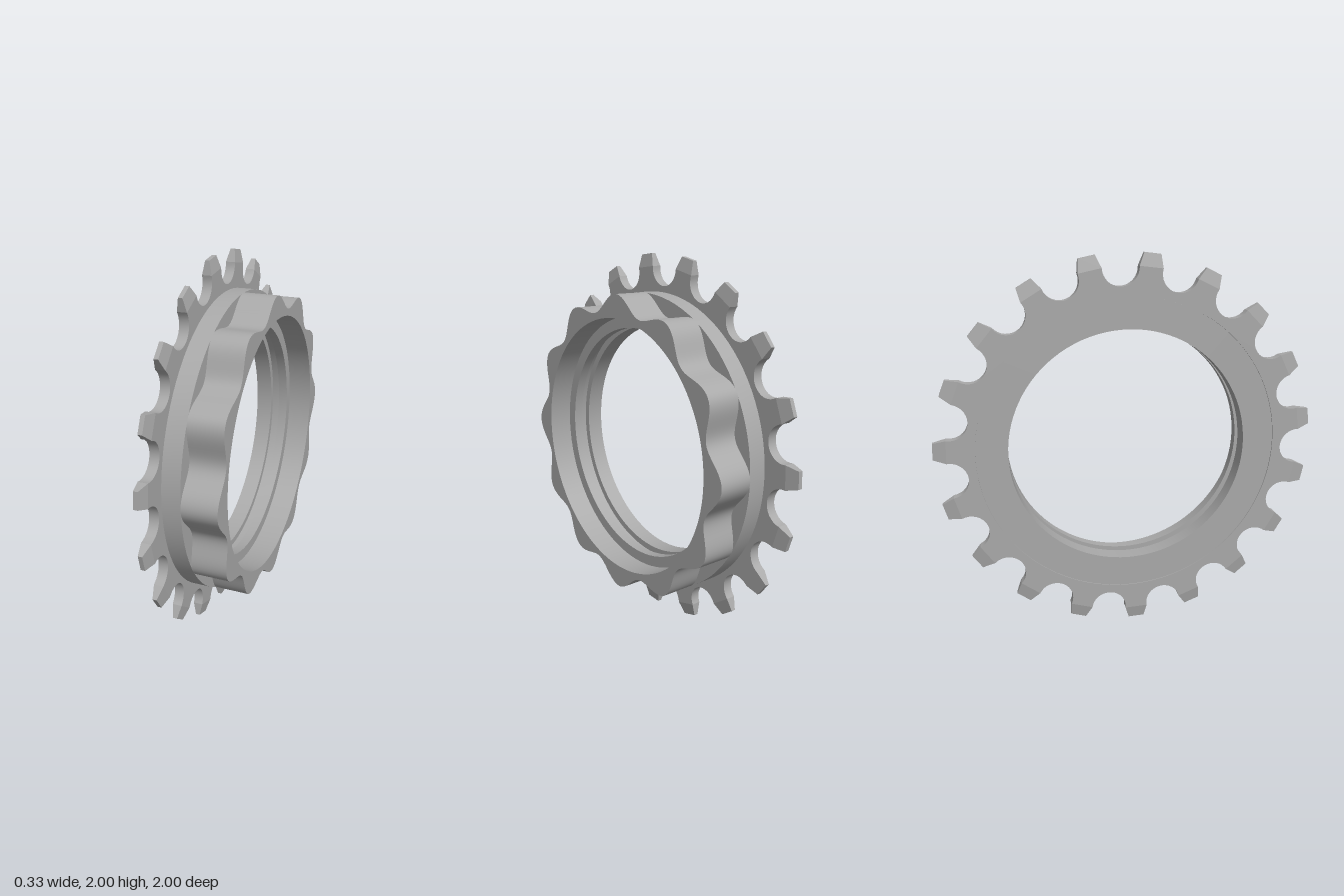
import * as THREE from 'three';
import { toCreasedNormals } from 'three/addons/utils/BufferGeometryUtils.js';

const TEETH = 19, LOBES = 12;
const STEP = (Math.PI * 2) / TEETH;
const FIRST = THREE.MathUtils.degToRad(2.1); // angle of the first tooth
const SEAT_R = 0.93, SEAT = 0.094; // roller seat centre radius and seat radius
const TIP_R = 1.0, TIP_HALF = 0.043;

export function createModel() {
  const model = new THREE.Group();
  const steel = new THREE.MeshStandardMaterial({ color: 0xa9a9a9 });
  steel.name = 'steel grey';

  // Everything is built around z, then turned so the axis lies along x
  const wheel = new THREE.Group();
  wheel.name = 'wheel';
  wheel.rotation.y = Math.PI / 2;
  wheel.position.y = 1;
  model.add(wheel);

  const add = (name, geometry, crease = 0.6) => {
    const mesh = new THREE.Mesh(toCreasedNormals(geometry, crease), steel);
    mesh.name = name;
    wheel.add(mesh);
    return mesh;
  };

  // Flat ring with a shaped rim and a round bore, between two depths
  const plate = (points, bore, from, to) => {
    const shape = new THREE.Shape(points);
    const hole = new THREE.Path();
    hole.absarc(0, 0, bore, 0, Math.PI * 2, true);
    shape.holes.push(hole);
    const geometry = new THREE.ExtrudeGeometry(shape, {
      depth: to - from, bevelEnabled: false, curveSegments: 96,
    });
    return geometry.translate(0, 0, from);
  };

  // Toothed disc: a round seat in every gap, straight tooth shoulders between
  const rim = [];
  for (let k = 0; k < TEETH; k++) {
    const a = FIRST + (k + 0.5) * STEP;
    for (let j = 0; j <= 16; j++) {
      const phi = (j / 16 - 0.5) * Math.PI;
      const r = SEAT_R - SEAT * Math.cos(phi), t = SEAT * Math.sin(phi);
      rim.push(new THREE.Vector2(
        r * Math.cos(a) - t * Math.sin(a), r * Math.sin(a) + t * Math.cos(a)));
    }
  }
  add('toothedDisc', plate(rim, 0.79, -0.165, -0.115));

  // Tooth tips: blocks narrowed in width and thickness toward the outside
  const shoulderR = Math.hypot(SEAT_R, SEAT);
  const shoulderA = STEP / 2 - Math.atan2(SEAT, SEAT_R);
  const baseR = shoulderR * Math.cos(shoulderA);
  const baseHalf = shoulderR * Math.sin(shoulderA);
  for (let k = 0; k < TEETH; k++) {
    const tip = new THREE.BoxGeometry(1, 2, 2);
    const p = tip.attributes.position;
    for (let i = 0; i < p.count; i++) {
      const outer = p.getX(i) > 0;
      p.setXYZ(i, outer ? TIP_R : baseR,
        p.getY(i) * (outer ? TIP_HALF : baseHalf),
        p.getZ(i) * (outer ? 0.011 : 0.025) - 0.14);
    }
    add('toothTip', tip.rotateZ(FIRST + k * STEP), 0.1);
  }

  // Body: shoulder ring, two inner lips and the groove between them
  const profile = [
    [0.79, -0.16], [0.79, -0.115], [0.805, -0.115], [0.805, -0.02],
    [0.685, -0.02], [0.685, 0.03], [0.625, 0.03], [0.625, -0.02],
    [0.66, -0.02], [0.66, -0.07], [0.625, -0.07], [0.625, -0.16], [0.79, -0.16],
  ].map(([r, z]) => new THREE.Vector2(r, z));
  add('body', new THREE.LatheGeometry(profile, 96).rotateX(Math.PI / 2));

  // Lobed collar: twelve soft waves around a plain bore
  const wave = [];
  for (let i = 0; i < 288; i++) {
    const a = (i / 288) * Math.PI * 2;
    const r = 0.764 + 0.043 * Math.cos(LOBES * a);
    wave.push(new THREE.Vector2(r * Math.cos(a), r * Math.sin(a)));
  }
  add('lobedCollar', plate(wave, 0.685, -0.02, 0.16));

  return model;
}
